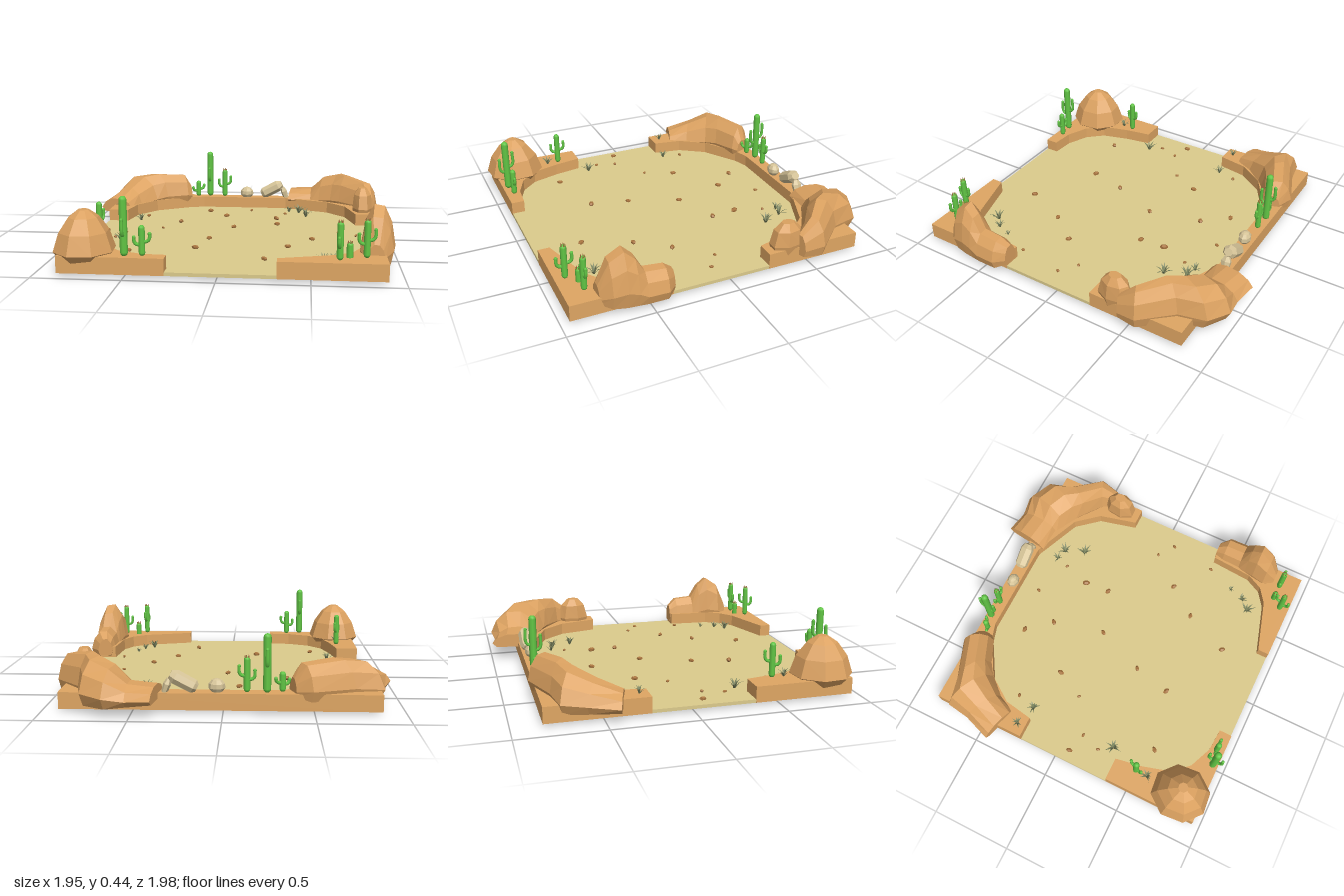
import * as THREE from 'three';

const mat = (color, extra = {}) => new THREE.MeshStandardMaterial({ color, ...extra });
const sandMat = mat(0xdccb8c);
const ledgeMat = mat(0xdfa663, { flatShading: true });
const rockMat = mat(0xdba160, { flatShading: true });
const paleMat = mat(0xd6c498, { flatShading: true });
const pebbleMat = mat(0xa8743f, { flatShading: true });
const cactusMat = mat(0x62c745);
const flowerMat = mat(0x9a6a35);
const grassMat = mat(0x7d8660, { side: THREE.DoubleSide, flatShading: true });

const SAND = 0.035, LEDGE = 0.11;

function add(parent, name, geometry, material, x = 0, y = 0, z = 0) {
  const mesh = new THREE.Mesh(geometry, material);
  mesh.name = name;
  mesh.position.set(x, y, z);
  parent.add(mesh);
  return mesh;
}

// Closed skin over a list of equal-length rings, with fan caps
function loft(rings) {
  const n = rings[0].length, index = [];
  for (let i = 0; i < rings.length - 1; i++) {
    for (let j = 0; j < n; j++) {
      const a = i * n + j, c = i * n + (j + 1) % n;
      index.push(a, a + n, c + n, a, c + n, c);
    }
  }
  const last = (rings.length - 1) * n;
  for (let j = 1; j < n - 1; j++) {
    index.push(0, j, j + 1, last, last + j + 1, last + j);
  }
  const geometry = new THREE.BufferGeometry();
  geometry.setAttribute('position', new THREE.Float32BufferAttribute(rings.flat(2), 3));
  geometry.setIndex(index);
  geometry.computeVertexNormals();
  return geometry;
}

// Ridge rock: each section is [inner x, inner z, outer x, outer z, top, bottom]
const ridgeProfile = [[0.1, 0], [0, 0.3], [0.12, 0.75], [0.36, 1], [0.66, 0.97], [0.88, 0.7], [1, 0.3], [0.9, 0]];
const ridge = (sections) => loft(sections.map(([ix, iz, ox, oz, top, bottom]) =>
  ridgeProfile.map(([t, k]) => [ix + (ox - ix) * t, bottom + (top - bottom) * k, iz + (oz - iz) * t])));

// Boulder: each level is [y, x radius, z radius, x shift, z shift]
const boulder = (levels, sides, turn) => loft(levels.map(([y, rx, rz, dx = 0, dz = 0]) =>
  Array.from({ length: sides }, (_, i) => {
    const a = turn + i / sides * Math.PI * 2;
    return [dx + rx * Math.cos(a), y, dz + rz * Math.sin(a)];
  })));

// Raised corner ledge from a plan outline in x, z
function ledge(points) {
  const shape = new THREE.Shape(points.map(([x, z]) => new THREE.Vector2(x, z)));
  return new THREE.ExtrudeGeometry(shape, { depth: LEDGE - 0.015, bevelEnabled: false })
    .rotateX(Math.PI / 2).translate(0, LEDGE, 0);
}

// Upright cactus with two bent arms and an optional flower crown
function cactus(parent, [x, z, base, top, armAngle, flower]) {
  const group = new THREE.Group();
  group.name = 'cactus';
  group.position.set(x, base, z);
  group.rotation.y = armAngle;
  parent.add(group);
  const h = top - base, r = h > 0.25 ? 0.022 : 0.018;
  add(group, 'cactusTrunk', new THREE.CapsuleGeometry(r, h - 2 * r, 3, 8), cactusMat, 0, h / 2, 0);
  if (flower !== 'bare') {
    for (const [side, low, high] of [[-1, 0.36, 0.66], [1, 0.46, 0.78]]) {
      const y0 = h * low, y1 = h * high, reach = side * 0.043;
      const path = new THREE.CatmullRomCurve3([[0, y0], [reach * 0.75, y0 + 0.004], [reach, y0 + 0.022], [reach, y1 - 0.01]]
        .map(([px, py]) => new THREE.Vector3(px, py, 0)));
      add(group, 'cactusArm', new THREE.TubeGeometry(path, 8, 0.01, 6), cactusMat);
      add(group, 'cactusArmTip', new THREE.SphereGeometry(0.0105, 6, 5), cactusMat, reach, y1 - 0.01, 0);
    }
  }
  if (flower) {
    for (let i = 0; i < 5; i++) {
      const a = i / 5 * Math.PI * 2;
      add(group, 'cactusFlower', new THREE.ConeGeometry(0.005, 0.016, 4), flowerMat,
        Math.cos(a) * 0.011, h + 0.002, Math.sin(a) * 0.011);
    }
  }
}

// Tuft of curved blades, each a tapering strip
function tuft(parent, [x, z, y, size], seed) {
  const pos = [], index = [], blades = 9;
  for (let i = 0; i < blades; i++) {
    const a = seed + i * 2.4, reach = size * (0.45 + 0.55 * ((i * 5 + 3) % 9) / 8);
    const height = size * (1.25 - 0.6 * reach / size);
    const c = Math.cos(a), s = Math.sin(a), first = pos.length / 3;
    for (const [out, up, width] of [[0.05, 0, 0.1], [0.45, 0.7, 0.09]]) {
      for (const side of [-1, 1]) {
        pos.push(c * reach * out - s * width * size * side, height * up, s * reach * out + c * width * size * side);
      }
    }
    pos.push(c * reach, height, s * reach);
    index.push(first, first + 1, first + 3, first, first + 3, first + 2, first + 2, first + 3, first + 4);
  }
  const geometry = new THREE.BufferGeometry();
  geometry.setAttribute('position', new THREE.Float32BufferAttribute(pos, 3));
  geometry.setIndex(index);
  geometry.computeVertexNormals();
  add(parent, 'grassTuft', geometry, grassMat, x, y, z);
}

export function createModel() {
  const model = new THREE.Group();
  model.name = 'desertArena';

  // Sand floor
  add(model, 'sandFloor', new THREE.BoxGeometry(1.773, 0.02, 1.778), sandMat, 0.0175, 0.025, 0.06);

  // Ledges
  add(model, 'backLedge', ledge([[-0.87, -0.24], [-0.74, -0.24], [-0.71, -0.42], [-0.6, -0.58], [-0.38, -0.715],
    [-0.28, -0.745], [0.32, -0.745], [0.62, -0.62], [0.74, -0.48], [0.8, -0.24], [0.905, -0.24],
    [0.905, -0.83], [-0.87, -0.83]]), ledgeMat);
  add(model, 'frontRightLedge', ledge([[-0.87, 0.36], [-0.73, 0.36], [-0.7, 0.53], [-0.65, 0.7], [-0.56, 0.8],
    [-0.42, 0.86], [-0.28, 0.87], [-0.28, 0.95], [-0.87, 0.95]]), ledgeMat);
  add(model, 'frontLeftLedge', ledge([[0.905, 0.36], [0.8, 0.36], [0.78, 0.62], [0.73, 0.72], [0.64, 0.785],
    [0.32, 0.88], [0.32, 0.95], [0.905, 0.95]]), ledgeMat);

  // Ridge rocks
  add(model, 'backRightRidge', ridge([
    [-0.74, -0.36, -0.97, -0.43, 0.155, 0.06], [-0.69, -0.47, -0.91, -0.6, 0.21, 0.05],
    [-0.6, -0.58, -0.89, -0.74, 0.27, 0.05], [-0.53, -0.63, -0.73, -0.77, 0.285, 0.06],
    [-0.39, -0.69, -0.49, -0.86, 0.27, 0.07], [-0.365, -0.72, -0.4, -0.82, 0.19, 0.09]]), rockMat);
  add(model, 'backLeftRidge', ridge([
    [0.34, -0.72, 0.38, -0.995, 0.165, 0.08], [0.5, -0.7, 0.52, -0.97, 0.175, 0.06],
    [0.56, -0.67, 0.64, -0.985, 0.26, 0.05], [0.64, -0.62, 0.77, -0.91, 0.295, 0.05],
    [0.7, -0.58, 0.81, -0.75, 0.3, 0.05], [0.81, -0.5, 0.965, -0.57, 0.27, 0.05],
    [0.86, -0.42, 0.95, -0.45, 0.19, 0.06]]), rockMat);
  add(model, 'frontLeftRidge', ridge([
    [0.82, 0.355, 0.92, 0.355, 0.165, 0.05], [0.805, 0.41, 0.975, 0.41, 0.21, 0.035],
    [0.8, 0.53, 0.975, 0.53, 0.22, 0.035], [0.79, 0.58, 0.97, 0.58, 0.31, 0.035],
    [0.775, 0.64, 0.965, 0.64, 0.365, 0.035], [0.765, 0.72, 0.95, 0.72, 0.31, 0.04],
    [0.8, 0.785, 0.9, 0.78, 0.17, 0.06]]), rockMat);

  // Boulders
  add(model, 'frontRightBoulder', boulder([[0.05, 0.12, 0.13], [0.115, 0.175, 0.185], [0.22, 0.14, 0.15],
    [0.3, 0.085, 0.09], [0.34, 0.03, 0.03]], 8, 0.3), rockMat, -0.745, 0, 0.81);
  add(model, 'backLeftBoulder', boulder([[0.04, 0.05, 0.08], [0.13, 0.068, 0.11], [0.22, 0.058, 0.085],
    [0.265, 0.03, 0.04]], 7, 0.2), rockMat, 0.85, 0, -0.38);

  // Pale stones on the back ledge
  add(model, 'roundPaleStone', boulder([[0, 0.03, 0.026], [0.02, 0.047, 0.038], [0.045, 0.045, 0.037],
    [0.066, 0.028, 0.024], [0.073, 0.008, 0.008]], 8, 0), paleMat, 0.035, LEDGE, -0.78);
  const longStone = add(model, 'longPaleStone', boulder([[-0.085, 0.025, 0.025], [-0.065, 0.04, 0.043],
    [0.05, 0.042, 0.045], [0.08, 0.025, 0.028]], 7, 0.3), paleMat, 0.22, 0.17, -0.79);
  longStone.rotation.z = -1.08;
  const leaningStone = add(model, 'leaningPaleStone', boulder([[-0.04, 0.018, 0.025], [0.01, 0.022, 0.033],
    [0.04, 0.013, 0.018]], 6, 0), paleMat, 0.31, 0.145, -0.79);
  leaningStone.rotation.z = 0.35;

  // Cacti: x, z, base, top, arm direction, crown
  [[-0.5, 0.915, LEDGE, 0.44, Math.PI / 2], [-0.405, 0.9, LEDGE, 0.28, 0], [-0.74, 0.505, LEDGE, 0.32, 1.2],
    [-0.325, -0.775, LEDGE, 0.225, 0.5], [-0.24, -0.795, LEDGE, 0.44, Math.PI / 2],
    [-0.13, -0.79, LEDGE, 0.31, 0, 'crown'], [0.65, 0.89, LEDGE, 0.32, 1.4, 'crown'],
    [0.705, 0.83, 0, 0.195, 0, 'bare'], [0.795, 0.83, LEDGE, 0.32, 0, 'crown']].forEach((c) => cactus(model, c));

  // Grass: x, z, ground height, size
  [[-0.8, -0.295, LEDGE, 0.045], [-0.655, -0.265, SAND, 0.05], [-0.66, 0.31, SAND, 0.06], [-0.74, 0.58, LEDGE, 0.05],
    [0.35, -0.615, SAND, 0.045], [0.42, -0.595, SAND, 0.06], [0.47, -0.47, SAND, 0.06], [0.57, 0.7, SAND, 0.06],
    [0.63, 0.64, SAND, 0.045], [0.665, 0.545, SAND, 0.03]].forEach((g, i) => tuft(model, g, i * 0.7));

  // Scattered pebbles: x, z, radius
  [[-0.21, -0.57, 0.02], [0.08, -0.62, 0.014], [0.325, -0.53, 0.012], [-0.08, -0.42, 0.02], [0.27, -0.355, 0.023],
    [-0.625, -0.385, 0.014], [-0.37, -0.215, 0.02], [0.28, -0.195, 0.02], [0, -0.09, 0.019], [-0.46, -0.035, 0.012],
    [0.68, -0.005, 0.012], [-0.8, 0.07, 0.019], [-0.675, 0.105, 0.013], [0.785, 0.07, 0.013], [0.51, 0.19, 0.019],
    [-0.125, 0.22, 0.018], [-0.715, 0.23, 0.013], [0.365, 0.38, 0.019], [0.74, 0.365, 0.013], [-0.18, 0.455, 0.021],
    [-0.56, 0.55, 0.019], [0.24, 0.665, 0.02]].forEach(([x, z, r], i) => {
    const pebble = add(model, 'pebble', new THREE.DodecahedronGeometry(r), pebbleMat, x, SAND + r * 0.5, z);
    pebble.scale.set(1.1, 0.65, 0.75);
    pebble.rotation.y = i * 1.3;
  });

  return model;
}
